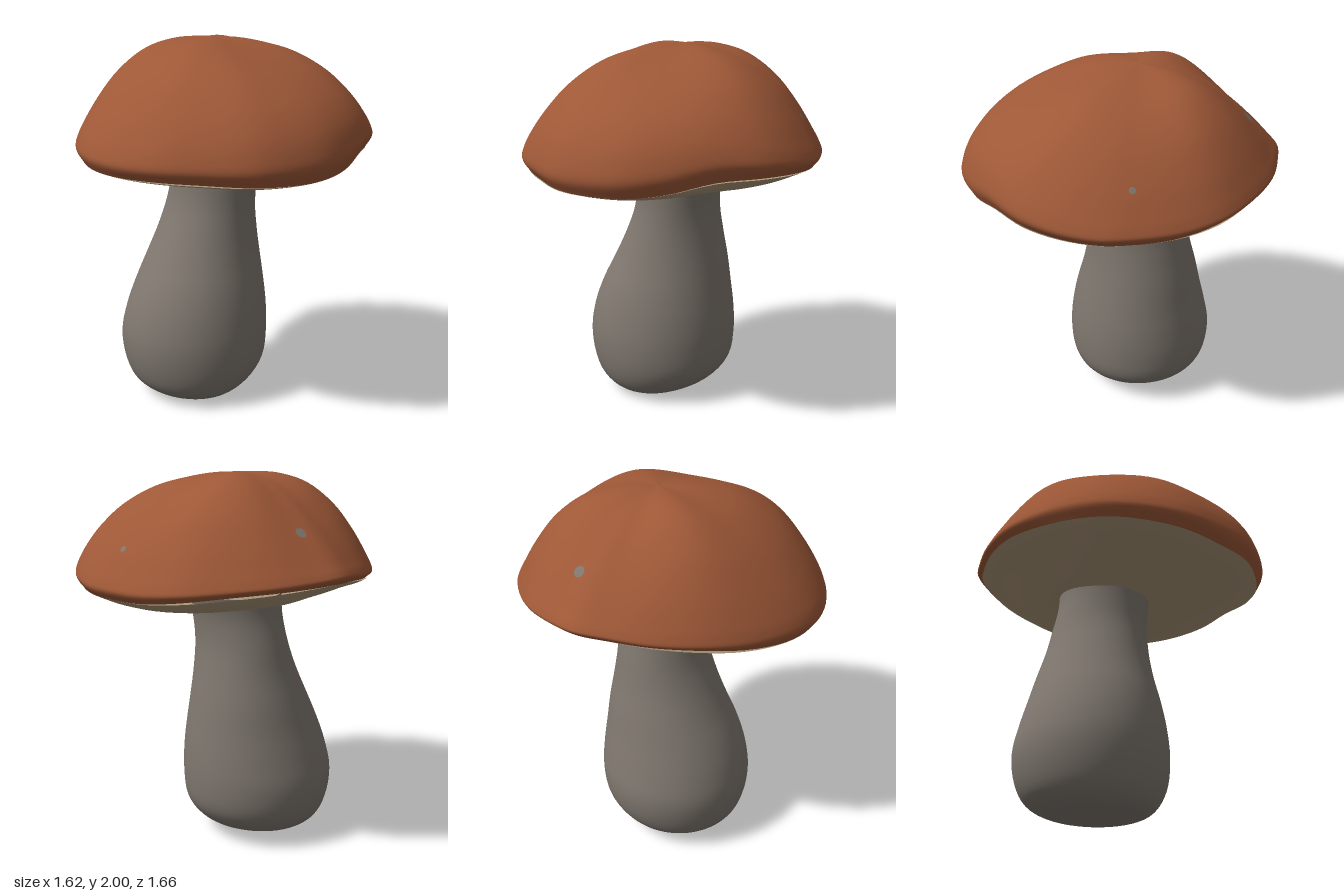
import * as THREE from 'three';

const SEG = 96;
const mat = (name, color) => Object.assign(new THREE.MeshStandardMaterial({ color }), { name });

// Cap outline seen from above, counter-clockwise: x, z, height of the lower lip
const RIM = [
  [0.81, 0.05, 1.41], [0.78, -0.2, 1.41], [0.7, -0.42, 1.43], [0.55, -0.6, 1.455],
  [0.38, -0.73, 1.475], [0.2, -0.8, 1.49], [0.05, -0.83, 1.5], [-0.1, -0.79, 1.49],
  [-0.3, -0.71, 1.465], [-0.5, -0.58, 1.44], [-0.65, -0.42, 1.41], [-0.77, -0.2, 1.385],
  [-0.81, 0, 1.37], [-0.78, 0.2, 1.36], [-0.69, 0.4, 1.355], [-0.55, 0.57, 1.35],
  [-0.38, 0.73, 1.345], [-0.2, 0.8, 1.345], [0, 0.825, 1.355], [0.2, 0.78, 1.38],
  [0.42, 0.67, 1.43], [0.62, 0.53, 1.43], [0.74, 0.36, 1.42], [0.8, 0.18, 1.41],
];

// Profiles: fraction of the way to the rim, then heights toward +x, +z, -x, -z
const LIP = [0.96, 1.41, 1.355, 1.368, 1.5];
const CAP = [
  [0, 2, 2, 2, 2], [0.15, 1.992, 1.985, 1.991, 1.992], [0.3, 1.964, 1.95, 1.965, 1.963],
  [0.5, 1.902, 1.888, 1.897, 1.885], [0.7, 1.787, 1.8, 1.775, 1.768],
  [0.85, 1.652, 1.7, 1.64, 1.663], [0.94, 1.548, 1.6, 1.538, 1.592],
  [0.985, 1.49, 1.51, 1.473, 1.555], [1, 1.455, 1.43, 1.425, 1.532], LIP,
];
const GILLS = [
  LIP, [0.9, 1.388, 1.335, 1.35, 1.475], [0.8, 1.355, 1.315, 1.335, 1.445],
  [0.6, 1.325, 1.29, 1.31, 1.38], [0.4, 1.315, 1.295, 1.295, 1.335],
  [0.15, 1.32, 1.31, 1.31, 1.33], [0, 1.32, 1.32, 1.32, 1.32],
];

// Stem sections from top to bottom: y, min x, max x, min z, max z
const STEM = [
  [1.37, -0.21, 0.28, -0.335, 0.185], [1.25, -0.21, 0.25, -0.34, 0.172],
  [1.1, -0.23, 0.243, -0.37, 0.165], [0.95, -0.285, 0.263, -0.4, 0.175],
  [0.8, -0.355, 0.288, -0.44, 0.2], [0.65, -0.43, 0.308, -0.475, 0.235],
  [0.5, -0.485, 0.325, -0.512, 0.262], [0.35, -0.51, 0.328, -0.54, 0.275],
  [0.2, -0.492, 0.305, -0.52, 0.262], [0.1, -0.45, 0.225, -0.465, 0.222],
  [0.04, -0.375, 0.11, -0.37, 0.165], [0.01, -0.27, 0.0, -0.24, 0.07],
  [0, -0.13, -0.13, -0.1, -0.1],
];

// Skin a ring of curves, one per step around, each sampled from end to end
function loft(curves, steps) {
  const pos = [], index = [], n = curves.length;
  for (let i = 0; i <= steps; i++) {
    for (const c of curves) pos.push(...c.getPoint(i / steps).toArray());
  }
  for (let i = 0; i < steps; i++) {
    for (let j = 0; j < n; j++) {
      const k = (j + 1) % n;
      const a = i * n + j, b = a + n, c = (i + 1) * n + k, d = i * n + k;
      index.push(a, b, c, a, c, d);
    }
  }
  const g = new THREE.BufferGeometry();
  g.setAttribute('position', new THREE.Float32BufferAttribute(pos, 3));
  g.setIndex(index);
  g.computeVertexNormals();
  return g;
}

// Blend the four directional profiles around the rim and follow its wavy lip;
// bulge(c, s) swells the shoulders between those directions
function capSurface(rows, steps, bulge) {
  const rim = new THREE.CatmullRomCurve3(RIM.map(([x, z, y]) => new THREE.Vector3(x, y, z)), true);
  const cx = 0.03, cz = -0.1;
  const curves = [];
  for (let j = 0; j < SEG; j++) {
    const r = rim.getPoint(j / SEG);
    const len = Math.hypot(r.x, r.z), c = r.x / len, s = r.z / len;
    const height = (row) => c * c * row[c > 0 ? 1 : 3] + s * s * row[s > 0 ? 2 : 4];
    const shift = r.y - height(LIP), swell = bulge(c, s);
    curves.push(new THREE.CatmullRomCurve3(rows.map((row) => {
      const f = row[0];
      const y = height(row) + shift * f ** 5 + swell * Math.sin(Math.PI * f ** 1.6);
      return new THREE.Vector3(cx + (r.x - cx) * f, y, cz + (r.z - cz) * f);
    })));
  }
  return loft(curves, steps);
}

function stemSurface() {
  const curves = [];
  for (let j = 0; j < SEG; j++) {
    const a = (j / SEG) * Math.PI * 2, c = Math.cos(a), s = -Math.sin(a);
    curves.push(new THREE.CatmullRomCurve3(STEM.map(([y, x0, x1, z0, z1]) => new THREE.Vector3(
      (x0 + x1) / 2 + (c * (x1 - x0)) / 2, y, (z0 + z1) / 2 + (s * (z1 - z0)) / 2))));
  }
  return loft(curves, 48);
}

export function createModel() {
  const group = new THREE.Group();
  const capMat = mat('rust brown', 0x9e5837);
  const gillMat = mat('pale tan', 0xae987a);
  const stemMat = mat('warm grey', 0x7f776f);
  capMat.side = gillMat.side = THREE.DoubleSide;

  const add = (name, geometry, material) => {
    const mesh = new THREE.Mesh(geometry, material);
    mesh.name = name;
    group.add(mesh);
    return mesh;
  };
  add('stem', stemSurface(), stemMat);
  add('capUnderside', capSurface(GILLS, 28, () => 0), gillMat);
  const cap = add('cap',
    capSurface(CAP, 45, (c, s) => (0.045 - 0.02 * s) * (2 * c * s) ** 2), capMat);

  // Small grey flecks lying on the cap: x, z, radius
  for (const [x, z, r] of [[0.135, -0.64, 0.029], [0.695, 0.005, 0.017]]) {
    const ray = new THREE.Raycaster(new THREE.Vector3(x, 3, z), new THREE.Vector3(0, -1, 0));
    const hit = ray.intersectObject(cap)[0];
    const fleck = add('fleck', new THREE.CircleGeometry(r, 12), stemMat);
    fleck.position.copy(hit.point).addScaledVector(hit.face.normal, 0.004);
    fleck.quaternion.setFromUnitVectors(new THREE.Vector3(0, 0, 1), hit.face.normal);
  }
  return group;
}
